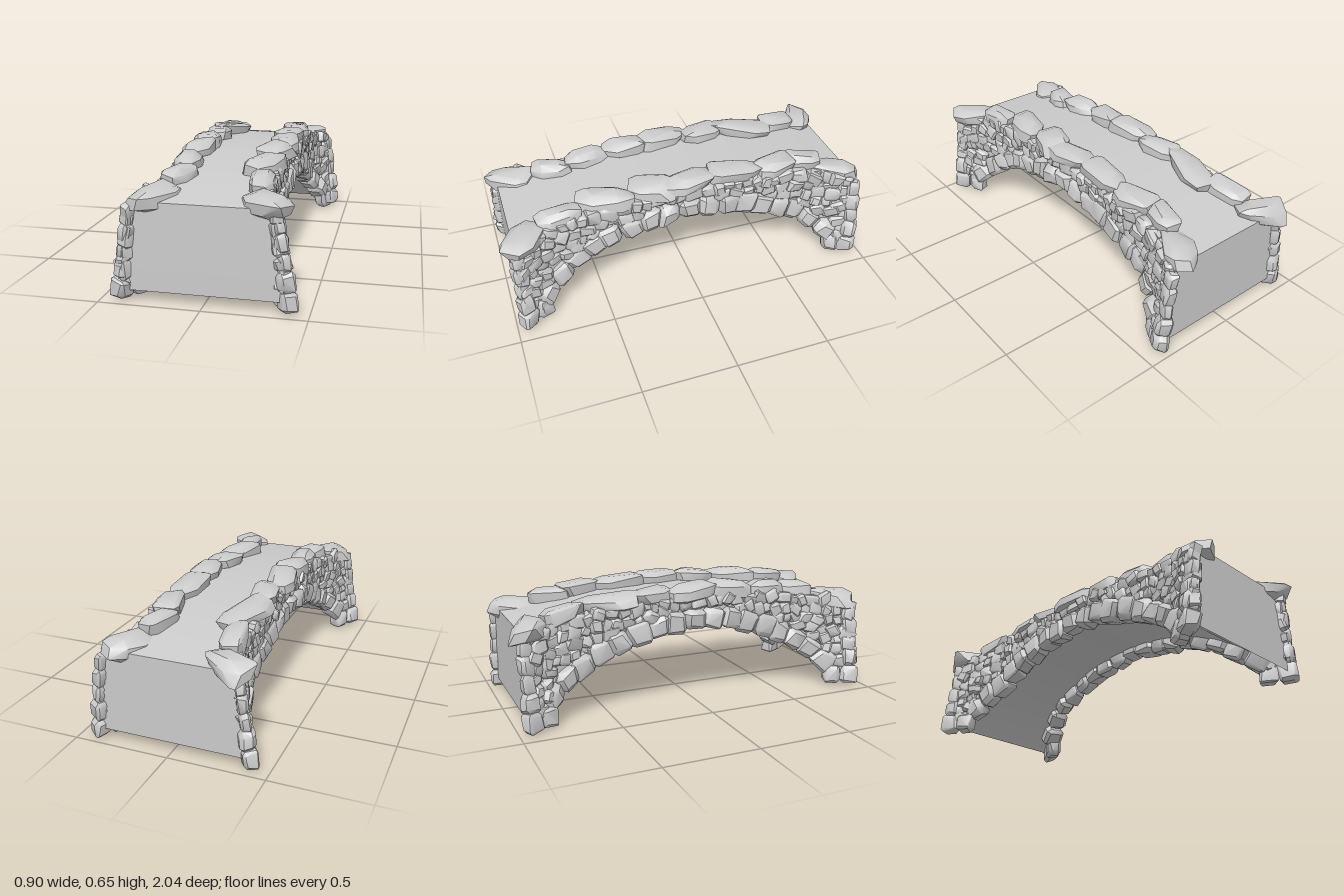
import * as THREE from 'three';
import { mergeGeometries, toCreasedNormals } from 'three/addons/utils/BufferGeometryUtils.js';
import { ConvexGeometry } from 'three/addons/geometries/ConvexGeometry.js';

// seeded random numbers
let seed = 7;
const rnd = () => {
  seed = (seed * 16807) % 2147483647;
  return seed / 2147483647;
};
const range = (a, b) => a + (b - a) * rnd();

// bridge profile: deck, arch underside, stone ring and wall half width
const END = 0.95, CORE_R = 1.352, RING_Y = -0.77, RING_R = 1.16;
const deckY = z => 0.575 - 0.09 * (z / END) ** 2;
const underY = z => 0.44 - CORE_R + Math.sqrt(CORE_R ** 2 - z * z);
const ringTop = z => RING_Y + Math.sqrt((RING_R + 0.12) ** 2 - z * z);
const halfWidth = (y, z) => {
  const flare = Math.max(0, (Math.abs(z) - 0.6) / 0.35) ** 1.5;
  return 0.25 + flare * (0.09 + 0.06 * (0.5 - y) / 0.45);
};

// coping boulders of each side: x, z, width, length, yaw
const COPING = {
  left: [
    [0.24, -0.87, 0.15, 0.25, -0.6], [0.18, -0.68, 0.11, 0.22, -0.25], [0.21, -0.51, 0.13, 0.23, 0.2],
    [0.205, -0.27, 0.135, 0.28, 0], [0.22, -0.01, 0.14, 0.27, 0.2], [0.205, 0.19, 0.15, 0.24, -0.3],
    [0.2, 0.45, 0.14, 0.3, -0.3], [0.235, 0.7, 0.11, 0.23, 0.1], [0.295, 0.895, 0.16, 0.25, 0.95]
  ],
  right: [
    [-0.29, -0.9, 0.15, 0.25, 0.95], [-0.235, -0.72, 0.11, 0.22, 0.15], [-0.205, -0.48, 0.15, 0.33, -0.3],
    [-0.21, -0.23, 0.13, 0.23, 0.15], [-0.225, 0, 0.145, 0.28, 0.15], [-0.21, 0.23, 0.135, 0.24, -0.05],
    [-0.2, 0.45, 0.13, 0.24, 0.1], [-0.19, 0.65, 0.12, 0.22, -0.3], [-0.25, 0.87, 0.16, 0.26, -0.55]
  ]
};

// rough cobble: hull of an unevenly chamfered box, slightly tumbled
function stone(w, h, d, minBevel = 0.42, tumble = 0.14) {
  const pts = [];
  for (const x of [-1, 1]) for (const y of [-1, 1]) for (const z of [-1, 1]) {
    const inset = range(minBevel, 0.8);
    for (let axis = 0; axis < 3; axis++) {
      const v = new THREE.Vector3(x, y, z).multiplyScalar(inset);
      v.setComponent(axis, [x, y, z][axis] * range(0.88, 1.05));
      pts.push(v.multiply(new THREE.Vector3(w / 2, h / 2, d / 2)));
    }
  }
  const geo = toCreasedNormals(new ConvexGeometry(pts), 0.6);
  const tilt = () => range(-tumble, tumble);
  return geo.rotateX(tilt()).rotateY(tilt()).rotateZ(tilt());
}

// place a stone on the wall, its depth along the wall normal
function wallStone(geo, side, y, z, up, out = 0) {
  const e = 0.01, w = halfWidth(y, z);
  const normal = new THREE.Vector3(
    side,
    -(halfWidth(y + e, z) - w) / e,
    -(halfWidth(y, z + e) - w) / e
  ).normalize();
  const o = new THREE.Object3D();
  o.position.set(side * w, y, z).addScaledVector(normal, out);
  o.up.copy(up);
  o.lookAt(o.position.clone().add(normal));
  o.updateMatrix();
  return geo.applyMatrix4(o.matrix);
}

// solid core carrying the deck, its arch running out to the end faces
function coreGeometry() {
  const pos = [], index = [], N = 48, ROWS = 5, RING = ROWS * 2;
  for (let i = 0; i <= N; i++) {
    const z = -END + 2 * END * i / N;
    for (let j = 0; j < RING; j++) {
      const left = j < ROWS, k = left ? j : RING - 1 - j;
      const y = THREE.MathUtils.lerp(deckY(z), underY(z), k / (ROWS - 1));
      pos.push((left ? 1 : -1) * halfWidth(y, z), y, z);
    }
  }
  for (let i = 0; i < N; i++) {
    for (let j = 0; j < RING; j++) {
      const a = i * RING + j, b = i * RING + (j + 1) % RING;
      index.push(a, a + RING, b, b, a + RING, b + RING);
    }
  }
  const f = N * RING;
  for (let j = 0; j < ROWS - 1; j++) {
    const a = j, b = RING - 1 - j, c = b - 1, d = j + 1;
    index.push(f + a, f + b, f + c, f + a, f + c, f + d);
    index.push(a, c, b, a, d, c);
  }
  const geo = new THREE.BufferGeometry();
  geo.setAttribute('position', new THREE.Float32BufferAttribute(pos, 3));
  geo.setIndex(index);
  return toCreasedNormals(geo, 0.5);
}

// ring of large stones around the arch edge
function archStones(side) {
  const list = [], n = 17, span = 0.77;
  for (let i = 0; i < n; i++) {
    const a = -span + 2 * span * (i + 0.5) / n + range(-0.008, 0.008);
    const r = RING_R + 0.058 + range(-0.008, 0.008);
    const up = new THREE.Vector3(0, Math.cos(a), Math.sin(a));
    const geo = stone(range(0.118, 0.136), range(0.112, 0.135), range(0.1, 0.12));
    const y = Math.max(0.08, RING_Y + r * up.y);
    list.push(wallStone(geo, side, y, r * up.z, up, -0.006));
  }
  return list;
}

// small rubble between the arch ring and the coping
function rubble(side) {
  const list = [];
  for (let row = 0; row < 8; row++) {
    let z = -END + 0.01 + (row % 2) * 0.02;
    while (z < END) {
      const w = range(0.048, 0.09);
      const zc = Math.min(z + w / 2, END - 0.015);
      const y = deckY(zc) - 0.03 - row * 0.054 + range(-0.012, 0.012);
      const clear = y > ringTop(zc) - 0.005 || (Math.abs(zc) > 0.84 && y > 0.09);
      if (clear) {
        const up = new THREE.Vector3(0, 1, range(-0.5, 0.5)).normalize();
        const geo = stone(w * 1.2, range(0.062, 0.084), range(0.055, 0.085));
        list.push(wallStone(geo, side, y, zc, up, range(-0.008, 0.006)));
      }
      z += w * 0.95;
    }
  }
  return list;
}

// heavy stones at the foot and up the outer corner of each pier
function pierStones(side) {
  const list = [], up = new THREE.Vector3(0, 1, 0);
  const layout = [
    [0.85, 0.053, 0.1, 0.105], [0.935, 0.053, 0.1, 0.105], [0.94, 0.15, 0.085, 0.11],
    [0.945, 0.245, 0.075, 0.1], [0.945, 0.335, 0.08, 0.105], [0.945, 0.415, 0.07, 0.09]
  ];
  for (const end of [-1, 1]) {
    for (const [z, y, w, h] of layout) {
      const depth = range(0.05, 0.065) + (y < 0.2 ? 0.028 : 0);
      const geo = stone(w, h, depth, 0.42, 0.07);
      list.push(wallStone(geo, side, y, end * z, up, 0.006));
    }
  }
  return list;
}

// coping boulders along the deck edge, lying along its slope
function copingStones(layout) {
  return layout.map(([x, z, w, length, yaw]) => {
    const corner = Math.abs(z) > 0.8;
    const geo = stone(w * 1.08, corner ? 0.11 : range(0.09, 0.105), length * 1.04, 0.3, 0.06);
    const y = corner ? 0.487 : deckY(z) + 0.014;
    return geo.rotateY(yaw).rotateX(corner ? 0 : 0.19 * z).translate(x, y, z);
  });
}

export function createModel() {
  const model = new THREE.Group();
  model.name = 'stoneBridge';
  const material = new THREE.MeshStandardMaterial({ color: 0xcccccc });
  const add = (name, geo, parent = model) => {
    const mesh = new THREE.Mesh(geo, material);
    mesh.name = name;
    parent.add(mesh);
  };
  add('deckAndArch', coreGeometry());
  for (const [name, side] of [['left', 1], ['right', -1]]) {
    const wall = new THREE.Group();
    wall.name = name + 'Wall';
    add('archStones', mergeGeometries(archStones(side)), wall);
    add('rubbleStones', mergeGeometries(rubble(side)), wall);
    add('pierStones', mergeGeometries(pierStones(side)), wall);
    add('copingStones', mergeGeometries(copingStones(COPING[name])), wall);
    model.add(wall);
  }
  return model;
}
